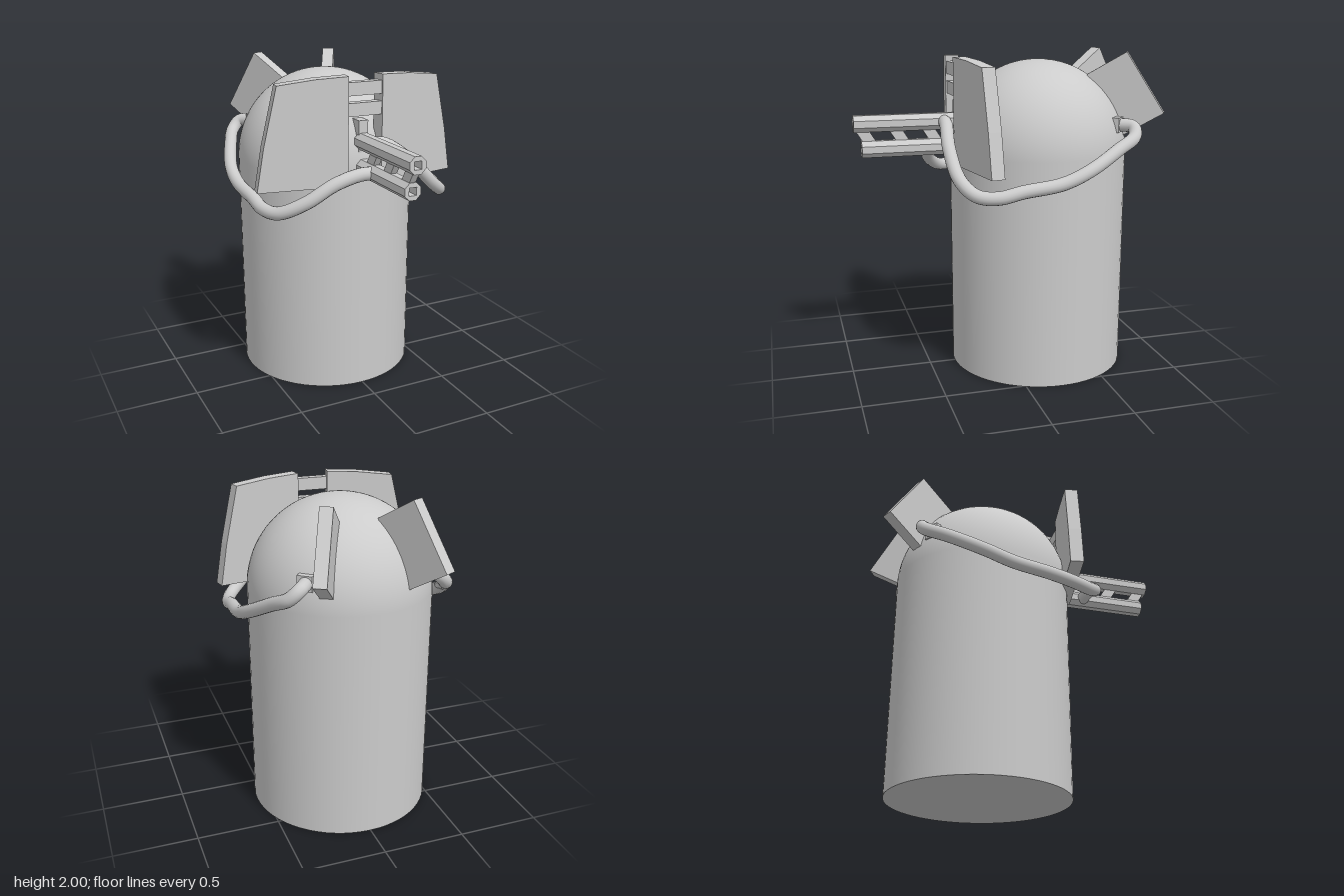
import * as THREE from 'three';

const mat = new THREE.MeshStandardMaterial({ color: 0xcccccc });

function add(parent, name, geometry, x = 0, y = 0, z = 0, ry = 0) {
  const mesh = new THREE.Mesh(geometry, mat);
  mesh.name = name;
  mesh.position.set(x, y, z);
  mesh.rotation.y = ry;
  parent.add(mesh);
  return mesh;
}

// Flat plate from a 2D outline; its front face lies at z = front
function plate(points, depth, front) {
  const shape = new THREE.Shape(points.map(([x, y]) => new THREE.Vector2(x, y)));
  return new THREE.ExtrudeGeometry(shape, { depth, bevelEnabled: false }).translate(0, 0, front - depth);
}

// Octagonal barrel with a square bore, running along +z
function barrel(length) {
  const r = 0.05 / Math.cos(Math.PI / 8);
  const shape = new THREE.Shape();
  for (let i = 0; i < 8; i++) {
    const a = (i + 0.5) * Math.PI / 4;
    shape[i ? 'lineTo' : 'moveTo'](r * Math.cos(a), r * Math.sin(a));
  }
  shape.closePath();
  const b = 0.023;
  const bore = [[-b, -b], [-b, b], [b, b], [b, -b]];
  shape.holes.push(new THREE.Path(bore.map(([x, y]) => new THREE.Vector2(x, y))));
  return new THREE.ExtrudeGeometry(shape, { depth: length, bevelEnabled: false });
}

function hose(points) {
  const curve = new THREE.CatmullRomCurve3(points.map(p => new THREE.Vector3(...p)));
  return new THREE.TubeGeometry(curve, 120, 0.04, 16);
}

export function createModel() {
  const model = new THREE.Group();
  model.name = 'domedTurret';
  const R = 0.555, axisZ = -0.22, domeY = 1.395;

  // Body and dome
  add(model, 'body', new THREE.CylinderGeometry(R, R, domeY, 64), 0, domeY / 2, axisZ);
  add(model, 'dome', new THREE.SphereGeometry(R, 64, 24, 0, Math.PI * 2, 0, Math.PI / 2), 0, domeY, axisZ);

  // Cross bars joining the two shield panels, and the gun mount behind them
  for (const y of [1.9, 1.78]) {
    add(model, 'shieldBar', new THREE.BoxGeometry(0.23, 0.078, 0.055), 0, y, 0.31);
  }
  add(model, 'gunMount', new THREE.BoxGeometry(0.06, 0.36, 0.12), 0, 1.53, 0.26);

  // Twin barrels, one above the other
  add(model, 'upperBarrel', barrel(0.635), 0, 1.585, 0.3);
  add(model, 'lowerBarrel', barrel(0.59), 0, 1.43, 0.3);
  add(model, 'boreBackUpper', new THREE.BoxGeometry(0.05, 0.05, 0.02), 0, 1.585, 0.75);
  add(model, 'boreBackLower', new THREE.BoxGeometry(0.05, 0.05, 0.02), 0, 1.43, 0.7);

  // Slanted struts between the barrels
  for (const z of [0.86, 0.66, 0.46]) {
    const strut = plate([[-0.045, -0.04], [0.035, -0.04], [0.085, 0.04], [0.005, 0.04]], 0.04, 0.02);
    add(model, 'barrelStrut', strut, 0, 1.507, z - 0.02, -Math.PI / 2);
  }

  // Front ends of the hoses differ: left feeds the upper barrel, right the lower
  const leads = {
    1: [[0, 1.585, 0.385], [0.1, 1.575, 0.39], [0.28, 1.45, 0.41], [0.44, 1.3, 0.385], [0.545, 1.225, 0.31]],
    [-1]: [[0, 1.43, 0.47], [0.1, 1.43, 0.468], [0.25, 1.385, 0.45], [0.41, 1.285, 0.405], [0.54, 1.215, 0.31]],
  };
  const sidePath = [
    [0.59, 1.215, 0.2], [0.6, 1.245, 0.05], [0.61, 1.28, -0.18], [0.595, 1.345, -0.35],
    [0.52, 1.45, -0.56], [0.46, 1.51, -0.68], [0.405, 1.56, -0.695], [0.33, 1.57, -0.6],
  ];

  for (const s of [1, -1]) {
    const side = s > 0 ? 'left' : 'right';

    // Angled shield panel
    const outline = [[0, 1.33], [0.545, 1.33], [0.5, 1.59], [0.418, 1.94], [0.2, 1.965], [0, 1.975]];
    add(model, side + 'ShieldPanel', plate(outline.map(([x, y]) => [x * s, y]), 0.082, 0),
      0.11 * s, 0, 0.345, s * 0.175);

    // Radial fin on the back of the dome
    const fin = plate([[0.31, 1.86], [0.55, 2], [0.785, 1.635], [0.545, 1.495]], 0.075, 0.0375);
    add(model, side + 'Fin', fin, 0, 0, axisZ, Math.PI / 2 - s * 0.49);

    // Hose and the square socket where it enters the dome
    const path = [...leads[s], ...sidePath].map(([x, y, z]) => [x * s, y, z]);
    add(model, side + 'Hose', hose(path));
    add(model, side + 'HoseSocket', new THREE.BoxGeometry(0.09, 0.09, 0.09), 0.33 * s, 1.57, -0.6, -s * 0.7);
  }
  return model;
}
